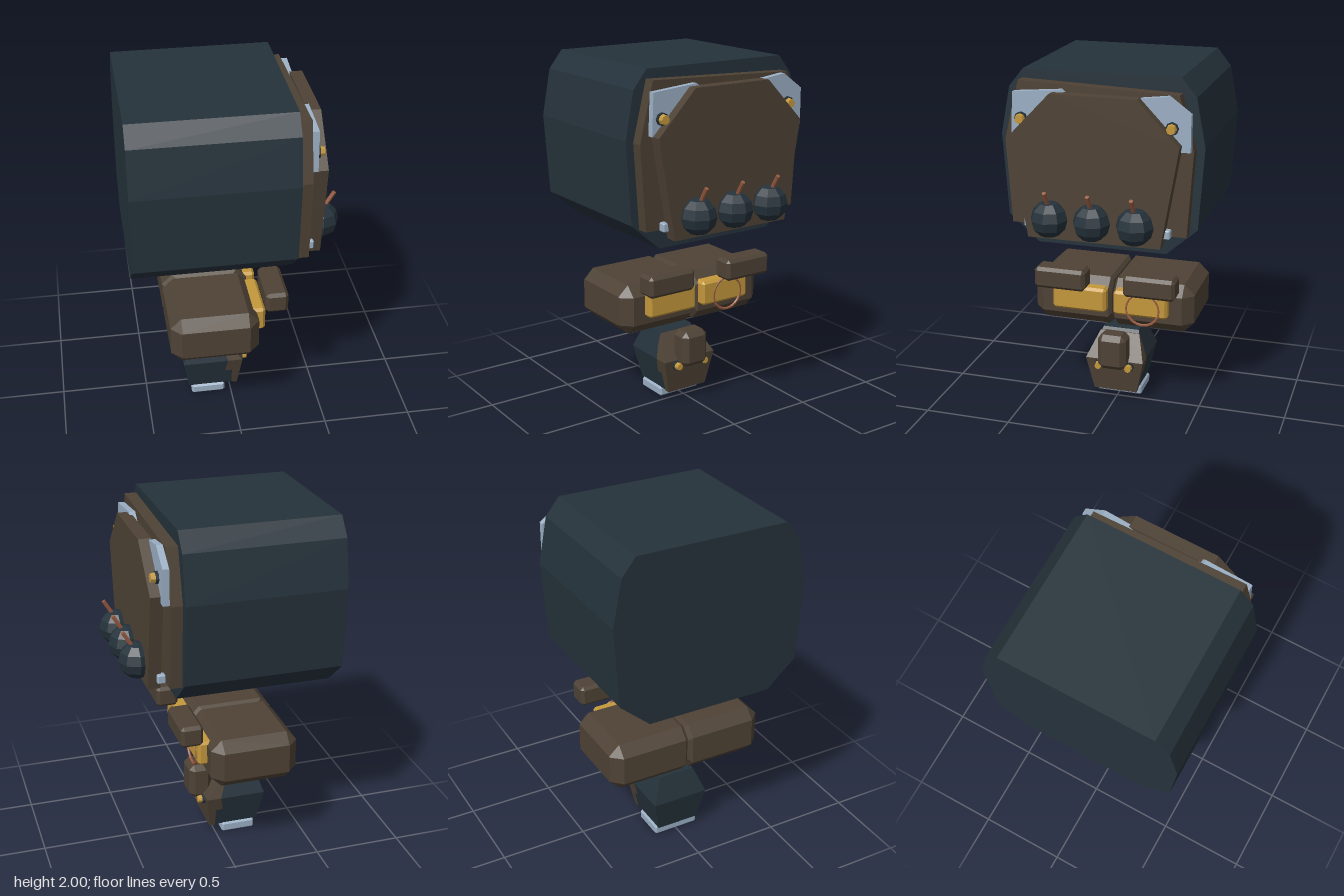
import * as THREE from 'three';
import { ConvexGeometry } from 'three/addons/geometries/ConvexGeometry.js';

const mat = (name, color) => {
  const m = new THREE.MeshStandardMaterial({ color, flatShading: true });
  m.name = name;
  return m;
};

export function createModel() {
  const navy = mat('navy', 0x25323b);
  const brown = mat('brown', 0x4e4235);
  const steel = mat('steel', 0x9bafc4);
  const gold = mat('gold', 0xc4983c);
  const copper = mat('copper', 0x965a40);
  const root = new THREE.Group();

  const add = (name, geometry, material, parent = root) => {
    const mesh = new THREE.Mesh(geometry, material);
    mesh.name = name;
    parent.add(mesh);
    return mesh;
  };

  // Slab with a [z, y] outline, running from x0 to x1
  const slab = (name, outline, x0, x1, material) => {
    const shape = new THREE.Shape(outline.map(([z, y]) => new THREE.Vector2(-z, y)));
    const g = new THREE.ExtrudeGeometry(shape, { depth: x1 - x0, bevelEnabled: false });
    return add(name, g.rotateY(Math.PI / 2).translate(x0, 0, 0), material);
  };

  // Box given by its limits, all edges chamfered by c
  const chamferBox = (name, [x0, x1], [y0, y1], [z0, z1], c, material) => {
    const half = [(x1 - x0) / 2, (y1 - y0) / 2, (z1 - z0) / 2];
    const pts = [];
    for (const sx of [-1, 1]) for (const sy of [-1, 1]) for (const sz of [-1, 1])
      for (let full = 0; full < 3; full++) {
        const p = half.map((h, i) => (i === full ? h : h - c));
        pts.push(new THREE.Vector3(sx * p[0], sy * p[1], sz * p[2]));
      }
    const mesh = add(name, new ConvexGeometry(pts), material);
    mesh.position.set((x0 + x1) / 2, (y0 + y1) / 2, (z0 + z1) / 2);
    return mesh;
  };

  // Stack of rectangular sections [y, x0, x1, half width]
  const stack = (name, rows, material) => {
    const pos = [], index = [];
    for (const [y, x0, x1, w] of rows) pos.push(x0, y, w, x1, y, w, x1, y, -w, x0, y, -w);
    for (let r = 0; r < rows.length - 1; r++)
      for (let i = 0; i < 4; i++) {
        const a = r * 4 + i, b = r * 4 + (i + 1) % 4;
        index.push(a, b, b + 4, a, b + 4, a + 4);
      }
    const t = (rows.length - 1) * 4;
    index.push(0, 2, 1, 0, 3, 2, t, t + 1, t + 2, t, t + 2, t + 3);
    const g = new THREE.BufferGeometry();
    g.setAttribute('position', new THREE.Float32BufferAttribute(pos, 3));
    g.setIndex(index);
    const flat = g.toNonIndexed();
    flat.computeVertexNormals();
    return add(name, flat, material);
  };

  // Stud pointing forward, with a dark washer
  const stud = (name, x, y, z, r, length) => {
    const group = new THREE.Group();
    group.name = name;
    const washer = add('washer', new THREE.CylinderGeometry(r * 1.25, r * 1.25, length * 0.4, 8), navy, group);
    washer.position.x = length * 0.2;
    const cap = add('cap', new THREE.CylinderGeometry(r * 0.85, r, length * 0.6, 8), gold, group);
    cap.position.x = length * 0.7;
    washer.rotation.z = cap.rotation.z = -Math.PI / 2;
    group.position.set(x, y, z);
    root.add(group);
  };

  // Large pack with its layered front plates
  slab('packBody', [[0.43, 2], [0.51, 1.9], [0.56, 1.64], [0.53, 1.19], [0.36, 1.04],
    [-0.36, 1.04], [-0.53, 1.19], [-0.56, 1.64], [-0.51, 1.9], [-0.43, 2]], -0.58, 0.295, navy);
  slab('backPlate', [[0.435, 1.95], [0.515, 1.63], [0.485, 1.165],
    [-0.485, 1.165], [-0.515, 1.63], [-0.435, 1.92]], 0.295, 0.36, brown);
  slab('leftBracket', [[0.455, 1.895], [0.19, 1.918], [0.07, 1.82], [0.4, 1.64], [0.465, 1.67]], 0.36, 0.395, steel);
  slab('rightBracket', [[-0.115, 1.82], [-0.24, 1.9], [-0.385, 1.918], [-0.505, 1.83],
    [-0.505, 1.635], [-0.45, 1.635]], 0.36, 0.395, steel);
  slab('frontPanel', [[0.235, 1.905], [0.46, 1.67], [0.365, 1.12],
    [-0.365, 1.12], [-0.46, 1.67], [-0.235, 1.905]], 0.38, 0.45, brown);
  for (const s of [-1, 1]) {
    stud('packStud', 0.393, 1.757, s * 0.408, 0.028, 0.042);
    chamferBox('lowerClip', [0.36, 0.405], [1.16, 1.21], [s * 0.385 - 0.02, s * 0.385 + 0.02], 0.006, steel);
  }

  // Row of balls, each with a slanted pin
  for (const z of [-0.235, 0, 0.235]) {
    add('ball', new THREE.SphereGeometry(0.102, 8, 6), navy).position.set(0.474, 1.24, z);
    const pin = add('pin', new THREE.CylinderGeometry(0.012, 0.012, 0.12, 6), copper);
    pin.position.set(0.515, 1.352, z);
    pin.rotation.z = -0.55;
  }

  // Middle blocks, pouches and pads, one set on each side
  for (const s of [-1, 1]) {
    const pts = [];
    for (const [z, inset] of [[0.004, 0.02], [0.022, 0], [0.41, 0], [0.47, 0.058]]) {
      const hx = 0.2475 - inset, hy = 0.1425 - inset, c = inset > 0.05 ? 0.004 : 0.06;
      for (const sx of [-1, 1]) for (const sy of [-1, 1])
        pts.push(new THREE.Vector3(sx * hx, sy * (hy - c), s * z),
          new THREE.Vector3(sx * (hx - c), sy * hy, s * z));
    }
    add('middleBlock', new ConvexGeometry(pts), brown).position.set(-0.1325, 0.6325, 0);
    const span = (a, b) => (s > 0 ? [a, b] : [-b, -a]);
    chamferBox('pouch', [0.08, 0.165], [0.592, 0.735], span(0.022, 0.337), 0.015, gold);
    chamferBox('upperPad', [0.153, 0.28], [0.753, 0.875], span(0.11, 0.405), 0.018, brown);
  }
  const ring = add('ring', new THREE.TorusGeometry(0.095, 0.008, 6, 20), copper);
  ring.rotation.y = Math.PI / 2;
  ring.position.set(0.16, 0.64, -0.195);

  // Head with a front mask, muzzle, studs and neck plate
  stack('head', [[0.055, -0.25, 0.03, 0.125], [0.25, -0.285, 0.055, 0.168], [0.4, -0.235, -0.085, 0.108]], navy);
  stack('mask', [[0.053, 0.005, 0.038, 0.129], [0.17, 0.005, 0.053, 0.155],
    [0.171, -0.035, 0.053, 0.155], [0.255, -0.02, 0.064, 0.173],
    [0.33, -0.05, -0.005, 0.142], [0.388, -0.06, -0.055, 0.118]], brown);
  chamferBox('muzzle', [0.003, 0.14], [0.222, 0.435], [-0.085, 0.085], 0.03, brown);
  for (const s of [-1, 1]) stud('headStud', 0.058, 0.224, s * 0.09, 0.023, 0.042);
  chamferBox('neckPlate', [-0.235, -0.038], [0, 0.058], [-0.137, 0.137], 0.01, steel);

  return root;
}
